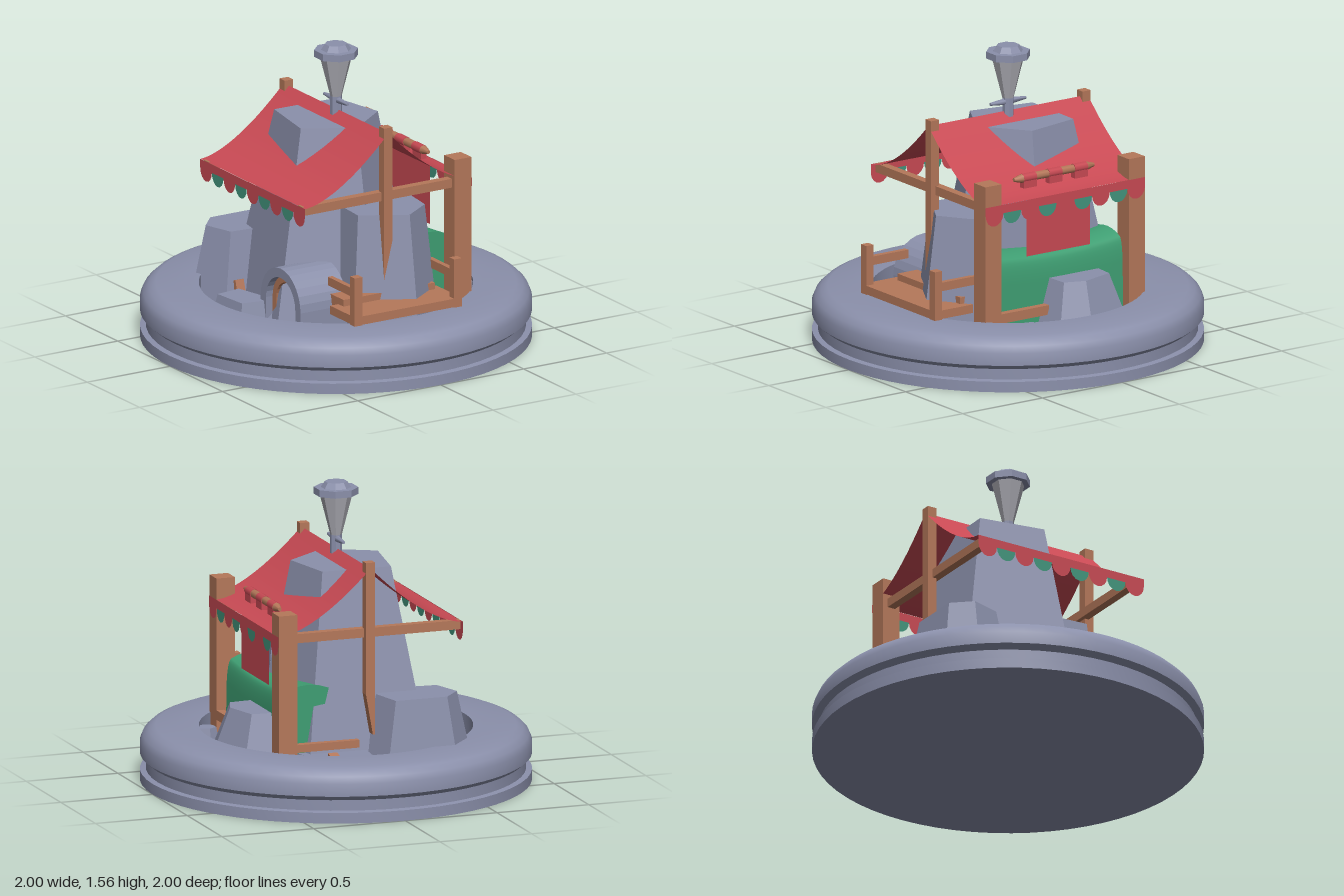
import * as THREE from 'three';
import { toCreasedNormals } from 'three/addons/utils/BufferGeometryUtils.js';
import { ConvexGeometry } from 'three/addons/geometries/ConvexGeometry.js';

export function createModel() {
  const root = new THREE.Group();
  const mat = (name, color, side = THREE.FrontSide) => {
    const m = new THREE.MeshStandardMaterial({ color, side });
    m.name = name;
    return m;
  };
  const stone = mat('stone', 0x8b90ab);
  const glass = mat('pale lamp', 0xb0b0b8);
  const wood = mat('wood', 0xb5785a);
  const red = mat('red cloth', 0xc94a54, THREE.DoubleSide);
  const green = mat('green cloth', 0x3f9f73);
  const teal = mat('teal cloth', 0x43957d, THREE.DoubleSide);

  const add = (name, geo, material, x = 0, y = 0, z = 0) => {
    const m = new THREE.Mesh(geo, material);
    m.name = name;
    m.position.set(x, y, z);
    root.add(m);
    return m;
  };
  // Box given by its minimum and maximum on each axis
  const box = (name, material, x0, x1, y0, y1, z0, z1) =>
    add(name, new THREE.BoxGeometry(x1 - x0, y1 - y0, z1 - z0), material, (x0 + x1) / 2, (y0 + y1) / 2, (z0 + z1) / 2);
  // Tapered rock: outline of its top, spread about (cx, cz) down to its foot
  const rock = (name, top, yTop, cx, cz, spread, yFoot = 0.13) => {
    const pts = [];
    for (const [x, z] of top) {
      pts.push(new THREE.Vector3(x, yTop, z));
      pts.push(new THREE.Vector3(cx + (x - cx) * spread, yFoot, cz + (z - cz) * spread));
    }
    return add(name, new ConvexGeometry(pts), stone);
  };

  // Round plinth with a groove, a rounded shoulder and a sunken floor
  const profile = [[0, 0], [1, 0], [1, 0.055], [0.97, 0.06], [0.97, 0.115], [1, 0.14], [1, 0.205],
    [0.985, 0.24], [0.955, 0.268], [0.92, 0.282], [0.7, 0.282], [0.7, 0.14], [0, 0.14]];
  const plinth = new THREE.LatheGeometry(profile.map(p => new THREE.Vector2(...p)), 64);
  add('plinth', toCreasedNormals(plinth, 0.5), stone);

  // Rocks
  rock('tallRock', [[-0.19, -0.29], [0.18, -0.28], [0.24, 0.02], [0, 0.2], [-0.25, 0.06]], 1.16, 0, -0.05, 1.8);
  rock('frontRock', [[-0.12, 0.4], [0.11, 0.53], [0.27, 0.42], [0.31, 0.1], [-0.1, 0.1]], 0.765, 0.1, 0.2, 1.27);
  rock('backRock', [[-0.47, -0.5], [-0.38, -0.6], [-0.1, -0.6], [-0.06, -0.42], [-0.2, -0.32], [-0.42, -0.34]],
    0.53, -0.27, -0.46, 1.42);
  rock('sideRock', [[0.42, 0.06], [0.56, 0.05], [0.6, -0.06], [0.55, -0.24], [0.4, -0.25]], 0.435, 0.42, -0.1, 1.62);
  rock('leftLowRock', [[-0.6, -0.18], [-0.46, -0.2], [-0.4, 0.05], [-0.58, 0.02]], 0.27, -0.5, -0.08, 1.25);
  rock('rearLowRock', [[0.02, -0.62], [0.3, -0.62], [0.36, -0.4], [0, -0.4]], 0.25, 0.15, -0.5, 1.1);

  // Small stone pot
  add('stonePot', new THREE.CylinderGeometry(0.05, 0.075, 0.12, 6).toNonIndexed(), stone, 0.6, 0.2, 0.28)
    .geometry.computeVertexNormals();

  // Arched doorway on the left
  const arch = (outer, inner, depth) => {
    const s = new THREE.Shape();
    s.moveTo(-outer, -0.16);
    s.lineTo(-inner, -0.16);
    s.lineTo(-inner, 0);
    s.absarc(0, 0, inner, Math.PI, 0, true);
    s.lineTo(inner, -0.16);
    s.lineTo(outer, -0.16);
    s.lineTo(outer, 0);
    s.absarc(0, 0, outer, 0, Math.PI, false);
    return new THREE.ExtrudeGeometry(s, { depth, bevelEnabled: false, curveSegments: 7 }).rotateY(-Math.PI / 2);
  };
  add('stoneArch', arch(0.19, 0.14, 0.28), stone, -0.18, 0.295, 0.2);
  add('woodArch', arch(0.14, 0.105, 0.22), wood, -0.2, 0.295, 0.2);

  // Frame: corner posts, ridge posts, beams and sills at both ends
  for (const s of [1, -1]) {
    box('cornerPost', wood, 0.4, 0.5, 0.1, 1.0, Math.min(s * 0.4, s * 0.5), Math.max(s * 0.4, s * 0.5));
    box('crossBeam', wood, -0.5, 0.4, 0.845, 0.892, s * 0.45 - 0.022, s * 0.45 + 0.022);
    const post = new THREE.Shape([[-0.025, 1.24], [-0.025, 0.34], [-0.012, 0.34], [0.025, 0.55], [0.025, 1.24]]
      .map(p => new THREE.Vector2(...p)));
    add('ridgePost', new THREE.ExtrudeGeometry(post, { depth: 0.05, bevelEnabled: false }), wood, 0, 0, s * 0.475 - 0.025);
  }
  box('sideSill', wood, 0.46, 0.5, 0.26, 0.31, 0.1, 0.42);
  box('rearSill', wood, 0.05, 0.42, 0.27, 0.31, -0.47, -0.43);

  // Sagging cloth roof
  const roof = new THREE.PlaneGeometry(1, 1, 24, 1).rotateX(-Math.PI / 2);
  const rp = roof.attributes.position;
  for (let i = 0; i < rp.count; i++) {
    rp.setY(i, 0.89 + 0.32 * Math.pow(Math.max(0, 1 - Math.abs(rp.getX(i)) / 0.5), 1.6));
  }
  add('roof', toCreasedNormals(roof, 0.6), red);

  // Scalloped trim along both eaves
  const w = 1 / 18;
  const flap = new THREE.Shape();
  flap.moveTo(-w, 0);
  flap.absellipse(0, 0, w, 0.062, Math.PI, 2 * Math.PI, false);
  const flapGeo = new THREE.ShapeGeometry(flap, 4).rotateY(Math.PI / 2);
  const band = new THREE.PlaneGeometry(1, 0.045).rotateY(Math.PI / 2);
  for (const s of [1, -1]) {
    add('eaveBand', band, red, s * 0.503, 0.868, 0);
    for (let i = 0; i < 9; i++) add('scallop', flapGeo, i % 2 ? teal : red, s * 0.503, 0.846, -0.5 + w + i * 2 * w);
  }

  // Tied cloth roll on the roof
  for (let i = -2; i <= 2; i++) {
    const r = i % 2 ? 0.022 : 0.025;
    add('rollSection', new THREE.CylinderGeometry(r, r, 0.08, 8).rotateX(Math.PI / 2), i % 2 ? wood : red, 0.4, 0.975, i * 0.08);
    if (i % 2 === 0) box('rollStrap', red, 0.385, 0.42, 0.925, 0.965, i * 0.08 - 0.04, i * 0.08 + 0.04);
  }
  for (const s of [1, -1]) {
    add('rollTip', new THREE.CylinderGeometry(0.01, 0.024, 0.05, 8).rotateX(s * Math.PI / 2), wood, 0.4, 0.975, s * 0.225);
  }

  // Hanging red panel
  const panel = new THREE.PlaneGeometry(0.4, 0.32, 8, 1).rotateY(Math.PI / 2);
  add('hangingPanel', panel, red, 0.44, 0.73, 0);

  // Green cloth over the counter, sagging in the middle
  const counter = new THREE.Shape();
  counter.moveTo(0.28, 0.14);
  counter.lineTo(0.45, 0.14);
  counter.lineTo(0.445, 0.45);
  counter.quadraticCurveTo(0.44, 0.56, 0.42, 0.575);
  counter.quadraticCurveTo(0.32, 0.63, 0.19, 0.58);
  counter.lineTo(0.25, 0.35);
  const drape = new THREE.ExtrudeGeometry(counter, { depth: 0.8, steps: 10, bevelEnabled: false, curveSegments: 6 })
    .translate(0, 0, -0.4);
  const dp = drape.attributes.position;
  for (let i = 0; i < dp.count; i++) {
    if (dp.getY(i) > 0.4) dp.setY(i, dp.getY(i) - 0.025 * Math.cos(dp.getZ(i) * Math.PI / 0.8));
  }
  add('counterCloth', toCreasedNormals(drape, 0.6), green);

  // Front deck with step, posts and side rails
  box('deck', wood, -0.32, 0.32, 0.285, 0.33, 0.45, 0.69);
  box('deckStep', wood, -0.27, 0.28, 0.285, 0.365, 0.36, 0.5);
  for (const s of [1, -1]) {
    box('deckPost', wood, s * 0.3 - 0.023, s * 0.3 + 0.023, 0.15, 0.54, 0.645, 0.69);
    box('deckRail', wood, s * 0.3 - 0.014, s * 0.3 + 0.014, 0.43, 0.475, 0.42, 0.65);
  }

  // Short wooden pegs at the back
  for (const [x, z] of [[0.24, -0.59], [-0.4, -0.29]]) {
    const peg = add('peg', new THREE.BoxGeometry(0.05, 0.18, 0.06), wood, x, 0.19, z);
    peg.rotation.x = -0.3;
  }

  // Lantern on the ridge: stem, crossbar, flared lamp and cap
  const oct = (name, material, rTop, rBottom, y0, y1) => {
    const g = new THREE.CylinderGeometry(rTop, rBottom, y1 - y0, 8).rotateY(Math.PI / 8);
    add(name, toCreasedNormals(g, 0.5), material, 0, (y0 + y1) / 2, 0);
  };
  oct('lampStem', stone, 0.03, 0.03, 1.14, 1.3);
  for (const s of [1, -1]) {
    add('lampArm', new THREE.CylinderGeometry(0.008, 0.02, 0.11, 6).rotateX(s * Math.PI / 2), stone, 0, 1.26, s * 0.057);
  }
  oct('lampCone', glass, 0.085, 0.03, 1.28, 1.495);
  oct('lampCap', stone, 0.114, 0.114, 1.492, 1.528);
  oct('lampTop', stone, 0.058, 0.078, 1.528, 1.558);

  return root;
}
